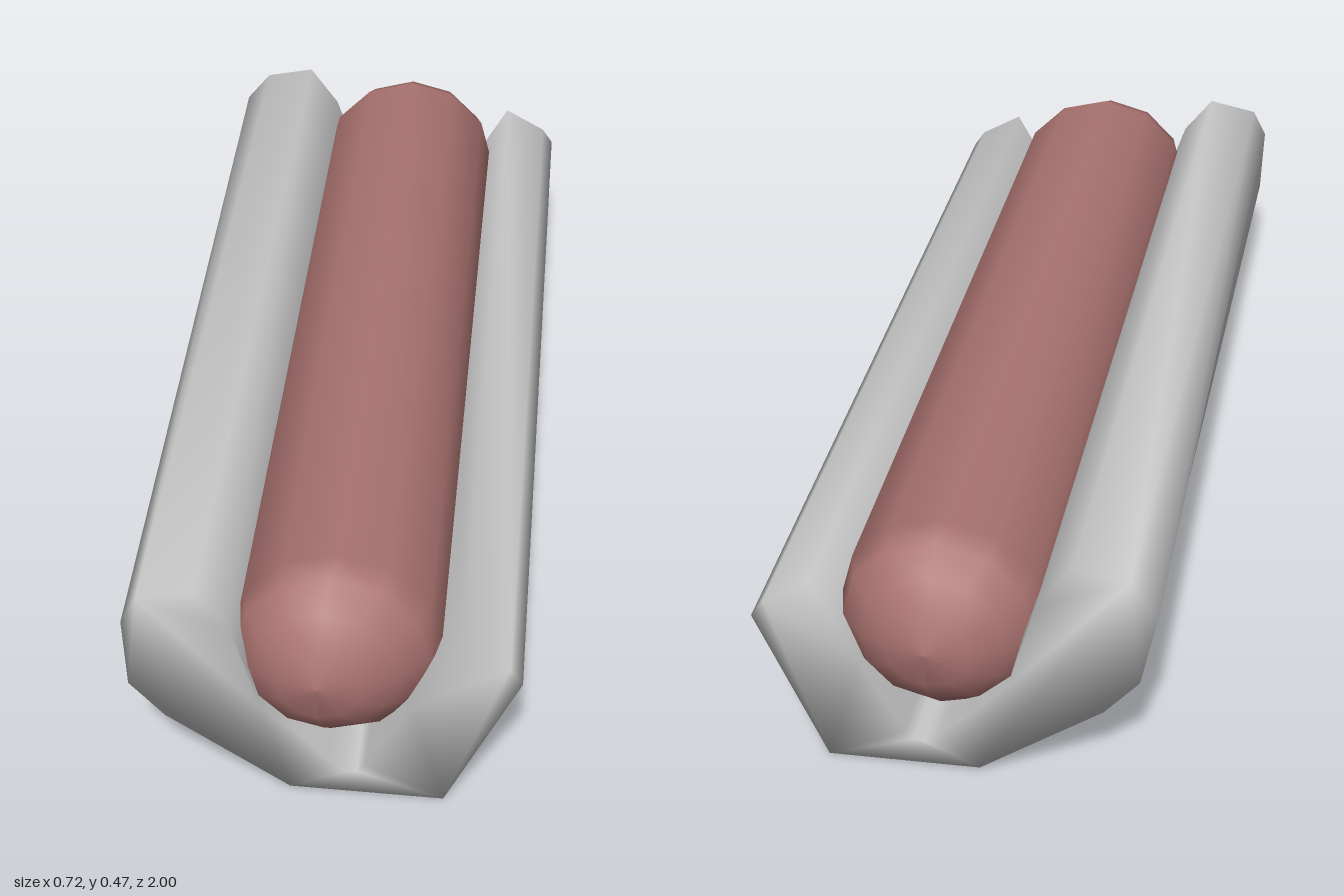
import * as THREE from 'three';
import { mergeVertices } from 'three/addons/utils/BufferGeometryUtils.js';

const bunGrey = new THREE.MeshStandardMaterial({ color: 0xcccccc });
bunGrey.name = 'bunGrey';
const sausageRed = new THREE.MeshStandardMaterial({ color: 0xaa7370 });
sausageRed.name = 'sausageRed';

// Move every vertex by a rule
function reshape(geometry, rule) {
  const p = geometry.attributes.position;
  const v = new THREE.Vector3();
  for (let i = 0; i < p.count; i++) {
    rule(v.fromBufferAttribute(p, i));
    p.setXYZ(i, v.x, v.y, v.z);
  }
  return geometry;
}

// Open bun: one lopsided V section run along z, softly shaded
function makeBun() {
  const section = [
    [-0.05, 0.008], [0.225, 0], [0.357, 0.28], [0.335, 0.313], [0.25, 0.362],
    [0.165, 0.21], [0.085, 0.07], [0.07, 0.053], [0.05, 0.05], [0.02, 0.075],
    [-0.03, 0.13], [-0.1, 0.19], [-0.125, 0.29], [-0.15, 0.365], [-0.21, 0.45],
    [-0.31, 0.43], [-0.36, 0.368], [-0.332, 0.23], [-0.27, 0.16],
  ].map(([x, y]) => new THREE.Vector2(x, y));
  let geometry = new THREE.ExtrudeGeometry(new THREE.Shape(section), { depth: 1.92, bevelEnabled: false });
  geometry.translate(0, 0, -0.96);
  // Narrower front lip and leaning ends
  reshape(geometry, (v) => {
    if (v.z > 0) {
      if (v.x < -0.34) v.x += 0.022;
      if (v.y > 0.4) v.y -= 0.008;
      v.z -= 0.01 * v.y;
    } else {
      v.z += 0.05 * v.y;
    }
  });
  geometry.deleteAttribute('uv');
  geometry.deleteAttribute('normal');
  geometry = mergeVertices(geometry, 1e-4);
  geometry.computeVertexNormals();
  const bun = new THREE.Mesh(geometry, bunGrey);
  bun.name = 'bun';
  return bun;
}

// Twelve-sided sausage with domed ends
function makeSausage() {
  const dome = [[0, 1], [0.075, 0.985], [0.13, 0.95], [0.172, 0.905], [0.19, 0.86]];
  const profile = [
    ...dome.map(([r, z]) => new THREE.Vector2(r, -z)),
    ...dome.slice().reverse().map(([r, z]) => new THREE.Vector2(r, z)),
  ];
  const geometry = new THREE.LatheGeometry(profile, 12);
  geometry.rotateX(Math.PI / 2);
  // Tips sit slightly off the axis
  reshape(geometry, (v) => {
    const tip = Math.max(0, (Math.abs(v.z) - 0.86) / 0.14);
    v.x += v.z > 0 ? -0.025 * tip : 0.008 * tip;
  });
  geometry.computeVertexNormals();
  const sausage = new THREE.Mesh(geometry, sausageRed);
  sausage.name = 'sausage';
  sausage.position.set(0.028, 0.275, 0);
  return sausage;
}

export function createModel() {
  const model = new THREE.Group();
  model.name = 'hotDog';
  model.add(makeBun(), makeSausage());
  return model;
}
